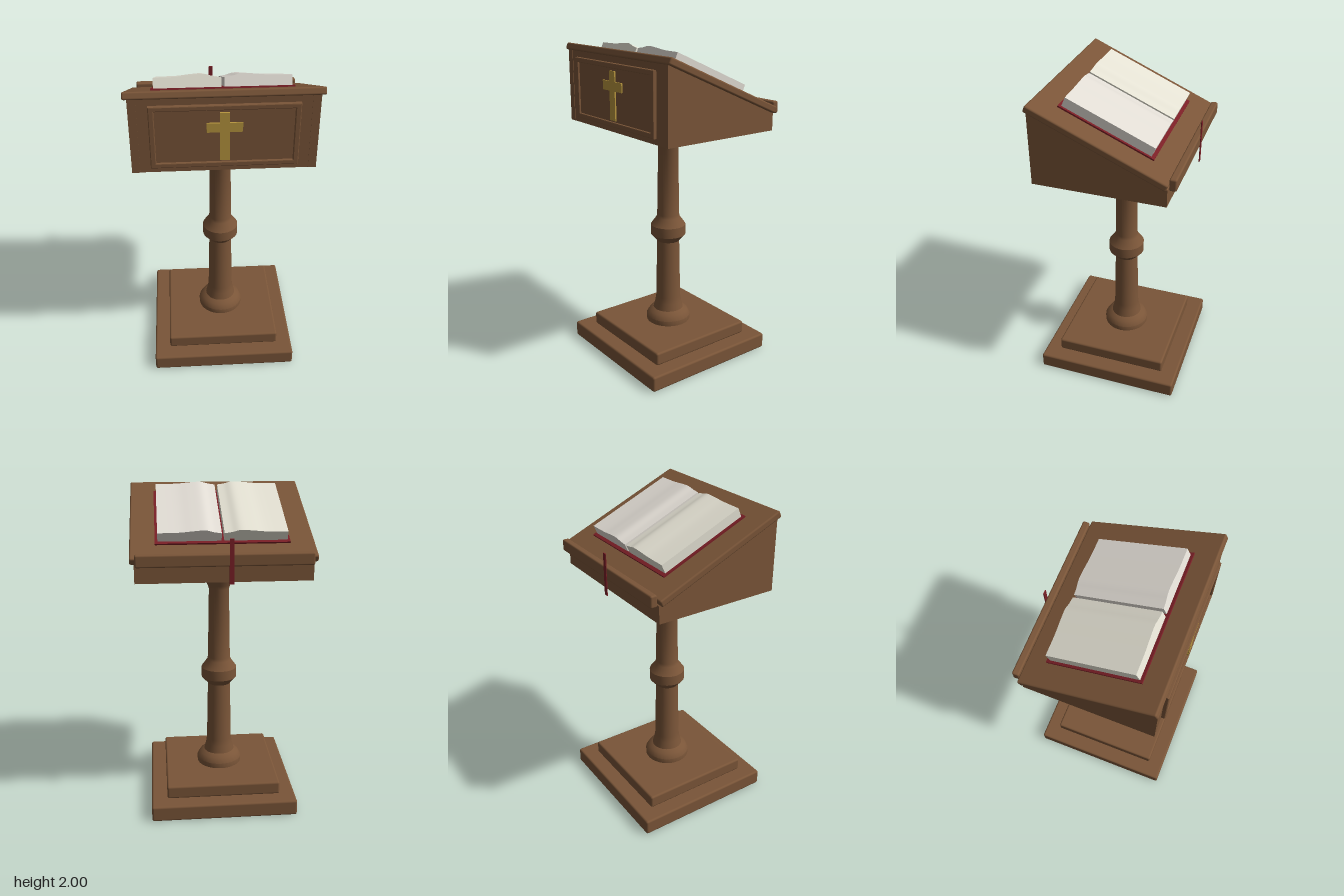
import * as THREE from 'three';
import { toCreasedNormals } from 'three/addons/utils/BufferGeometryUtils.js';
import { RoundedBoxGeometry } from 'three/addons/geometries/RoundedBoxGeometry.js';

const mat = (name, color) => {
  const m = new THREE.MeshStandardMaterial({ color });
  m.name = name;
  return m;
};

export function createModel() {
  const wood = mat('brown wood', 0x7a5538);
  const gold = mat('gold', 0xb8963e);
  const cover = mat('dark red', 0x7a1f26);
  const leftPaper = mat('cream paper', 0xe4e1d3);
  const rightPaper = mat('pale paper', 0xe1dcd4);

  const model = new THREE.Group();
  model.name = 'lectern';
  const add = (name, geometry, material, x = 0, y = 0, z = 0, parent = model) => {
    const mesh = new THREE.Mesh(geometry, material);
    mesh.name = name;
    mesh.position.set(x, y, z);
    parent.add(mesh);
    return mesh;
  };
  const box = (w, h, d) => new THREE.BoxGeometry(w, h, d);
  const rounded = (w, h, d, r = 0.013) => new RoundedBoxGeometry(w, h, d, 2, r);

  // Stepped square base
  add('lowerPlinth', rounded(0.91, 0.1, 0.91), wood, 0, 0.05, 0);
  add('upperPlinth', rounded(0.714, 0.084, 0.714), wood, 0, 0.14, 0);

  // Turned column with foot, knob and flared head
  const profile = [
    [0, 0.17], [0.143, 0.17], [0.145, 0.215], [0.125, 0.248], [0.098, 0.265], [0.086, 0.31],
    [0.08, 0.35], [0.072, 0.74], [0.112, 0.785], [0.112, 0.85], [0.076, 0.9], [0.071, 0.92],
    [0.063, 1.37], [0.072, 1.395], [0.095, 1.44], [0.117, 1.5], [0, 1.505],
  ].map(([r, y]) => new THREE.Vector2(r, y));
  add('column', toCreasedNormals(new THREE.LatheGeometry(profile, 32), 0.6), wood);

  // Sloped desk body: a wedge section run across x
  const tilt = THREE.MathUtils.degToRad(23.5);
  const wedge = (width, front) => {
    const top = (z) => 1.775 + z * Math.tan(tilt);
    const s = new THREE.Shape();
    s.moveTo(-0.39, 1.5);
    s.lineTo(front, 1.5);
    s.lineTo(front, top(front));
    s.lineTo(-0.39, top(-0.39));
    s.closePath();
    const g = new THREE.ExtrudeGeometry(s, { depth: width, bevelEnabled: false });
    return g.rotateY(-Math.PI / 2).translate(width / 2, 0, 0);
  };
  add('deskBody', wedge(0.93, 0.387), wood);
  for (const side of [-1, 1]) {
    add(side > 0 ? 'leftSidePanel' : 'rightSidePanel', wedge(0.045, 0.39), wood, side * 0.4875, 0, 0);
  }

  // Raised frame around the front panel
  const rect = (path, w, h) => {
    path.moveTo(-w, -h);
    path.lineTo(w, -h);
    path.lineTo(w, h);
    path.lineTo(-w, h);
    path.closePath();
    return path;
  };
  const frame = rect(new THREE.Shape(), 0.4, 0.18);
  frame.holes.push(rect(new THREE.Path(), 0.379, 0.161));
  add('frontFrame', new THREE.ExtrudeGeometry(frame, {
    depth: 0.015, bevelSize: 0.005, bevelThickness: 0.005, bevelSegments: 2,
  }), wood, 0, 1.72, 0.39);
  add('frontPanel', box(0.75, 0.315, 0.012), wood, 0, 1.72, 0.391);

  // Gold cross on the front panel
  add('crossUpright', box(0.054, 0.287, 0.009), gold, 0, 1.717, 0.4015);
  for (const side of [-1, 1]) {
    add('crossArm', box(0.07, 0.055, 0.009), gold, side * 0.062, 1.773, 0.4015);
  }

  // Tilted top with the open book lying on it
  const top = new THREE.Group();
  top.name = 'slopedTop';
  top.position.set(0, 1.795, 0);
  top.rotation.x = -tilt;
  model.add(top);
  add('readingBoard', rounded(1.07, 0.042, 0.855, 0.01), wood, 0, 0, 0, top);
  add('bookCover', box(0.78, 0.01, 0.59), cover, 0, 0.025, 0, top);

  // Page blocks swell near the spine; side mirrors the section
  const pages = (side) => {
    const crown = new THREE.SplineCurve([
      [0.008, 0.05], [0.05, 0.057], [0.1, 0.07], [0.17, 0.066], [0.25, 0.058], [0.375, 0.056],
    ].map(([x, y]) => new THREE.Vector2(side * x, y)));
    const outline = [new THREE.Vector2(side * 0.008, 0), ...crown.getPoints(24), new THREE.Vector2(side * 0.375, 0)];
    const g = new THREE.ExtrudeGeometry(new THREE.Shape(outline), { depth: 0.552, bevelEnabled: false });
    return toCreasedNormals(g, 0.5);
  };
  add('rightPages', pages(-1), leftPaper, 0, 0.03, -0.273, top);
  add('leftPages', pages(1), rightPaper, 0, 0.03, -0.273, top);

  // Book rest along the reader's edge, and the hanging bookmark
  add('bookLedge', rounded(1.01, 0.072, 0.042, 0.01), wood, 0, 1.635, -0.417);
  add('bookmarkRibbon', box(0.026, 0.255, 0.005), cover, -0.034, 1.628, -0.4395);

  return model;
}
